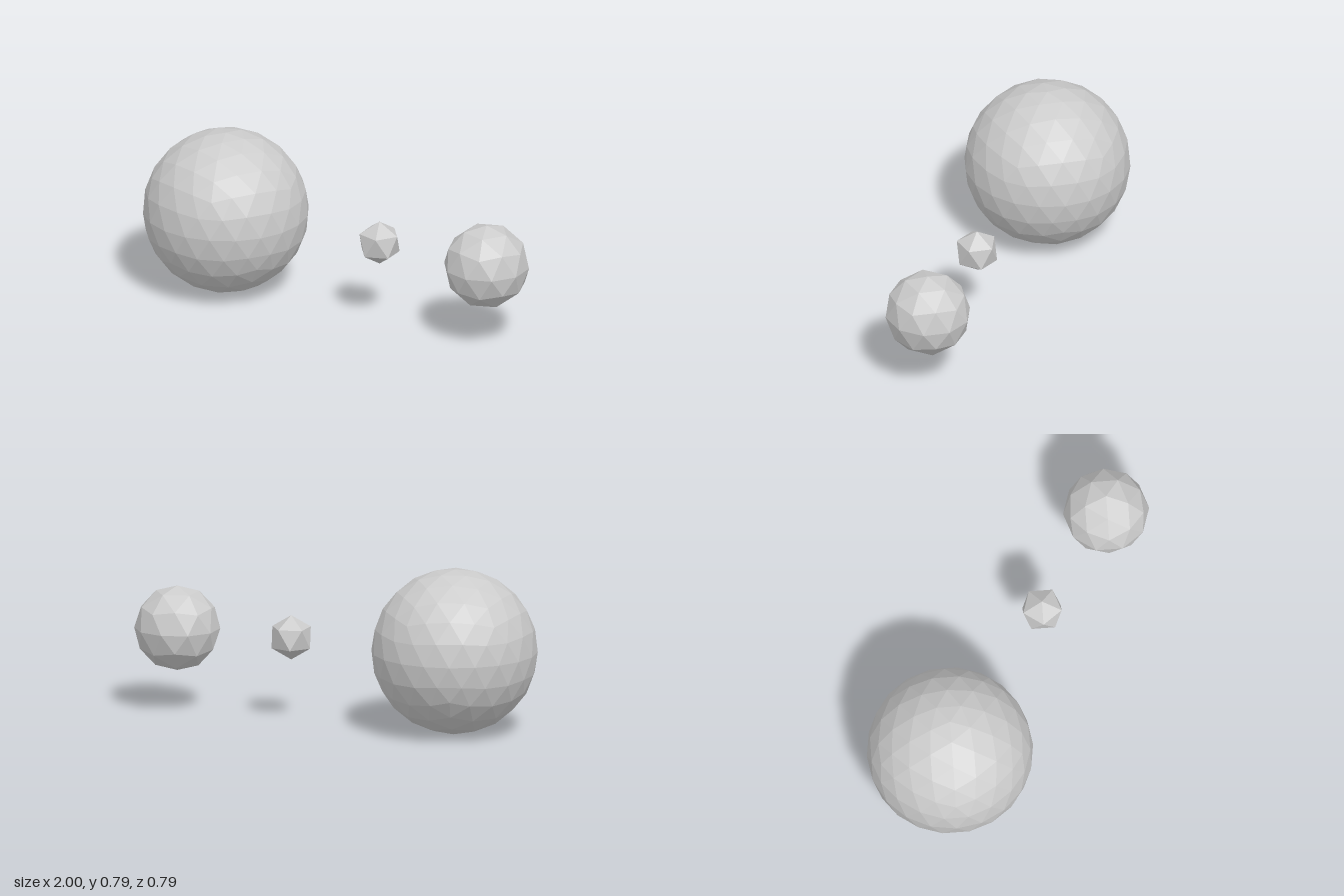
import * as THREE from 'three';

const CENTER_Y = 0.394;

// Each ball: name, x position, radius, extra cuts per icosahedron edge
const BALLS = [
  ['largeBall', -0.606, 0.394, 3],
  ['smallBall', 0.226, 0.107, 0],
  ['mediumBall', 0.806, 0.204, 1],
];

export function createModel() {
  const group = new THREE.Group();
  const material = new THREE.MeshStandardMaterial({ color: 0xcccccc, flatShading: true });
  // Tilt that brings an icosahedron corner onto the y axis
  const tilt = -Math.atan(2 / (1 + Math.sqrt(5)));

  for (const [name, x, radius, detail] of BALLS) {
    const geometry = new THREE.IcosahedronGeometry(radius, detail).rotateZ(tilt);
    const ball = new THREE.Mesh(geometry, material);
    ball.name = name;
    ball.position.set(x, CENTER_Y, 0);
    group.add(ball);
  }
  return group;
}
